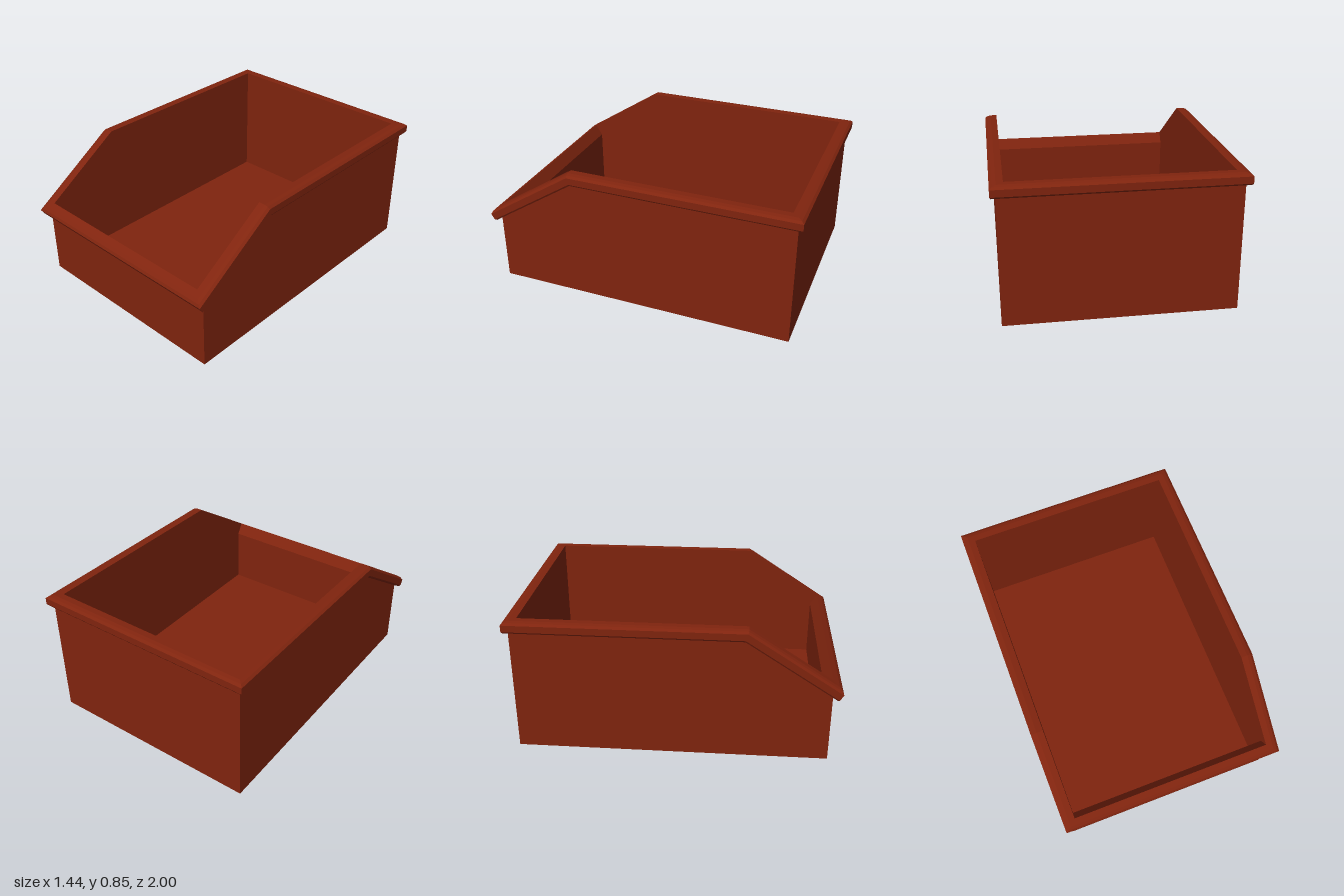
import * as THREE from 'three';

// Stations along one side: inner rim edge [x, y, z], outward step and rim normal as [y, z]
const SIDE = [
  { p: [0.645, 0.85, -0.923], out: [0, -1], up: [1, 0] },               // back corner
  { p: [0.645, 0.85, 0.435], out: [0, 0], up: [1, 0.296] },             // bend
  { p: [0.645, 0.522, 0.938], out: [-0.567, 0.882], up: [0.84, 0.54] }, // front corner
];
// Full loop, counter-clockwise seen from above
const STATIONS = [
  ...SIDE.map((s) => ({ ...s, side: -1 })),
  ...[...SIDE].reverse().map((s) => ({ ...s, side: 1 })),
];

// Ring at distance u outward and v along the rim normal; y flattens it to a level
function ring(u, v, y) {
  return STATIONS.map(({ p, out, up, side }) => [
    side * (p[0] + u),
    y ?? p[1] + u * out[0] + v * up[0],
    p[2] + u * out[1] + v * up[1],
  ]);
}

// Flat-faced bands between successive rings
function bands(rings) {
  const tris = [];
  for (let r = 0; r < rings.length - 1; r++) {
    const a = rings[r], b = rings[r + 1];
    for (let i = 0; i < a.length; i++) {
      const j = (i + 1) % a.length;
      tris.push(a[i], a[j], b[j], a[i], b[j], b[i]);
    }
  }
  return tris;
}

// Rectangular cap on a level ring
function cap(r, faceUp) {
  return faceUp ? [r[0], r[2], r[3], r[0], r[3], r[5]] : [r[0], r[3], r[2], r[0], r[5], r[3]];
}

export function createModel() {
  const group = new THREE.Group();
  const plastic = new THREE.MeshStandardMaterial({ color: 0x80240e });
  plastic.name = 'rust red plastic';

  const add = (name, tris) => {
    const geo = new THREE.BufferGeometry();
    geo.setAttribute('position', new THREE.Float32BufferAttribute(tris.flat(), 3));
    geo.computeVertexNormals();
    const mesh = new THREE.Mesh(geo, plastic);
    mesh.name = name;
    group.add(mesh);
  };

  // Outer walls
  const wallTop = ring(0.045, -0.072);
  const base = ring(0.045, -0.072, 0);
  add('outerWalls', bands([base, wallTop]));
  add('base', cap(base, false));

  // Overhanging rim with a softened outer edge
  const rimProfile = [[0.07, -0.068], [0.077, -0.058], [0.077, -0.016], [0.062, -0.005], [0.04, 0], [0, 0]];
  add('rim', bands([wallTop, ...rimProfile.map(([u, v]) => ring(u, v))]));

  // Inner walls and floor
  const floor = ring(0, -0.085, 0.07);
  add('innerWalls', bands([ring(0, 0), ring(0, -0.085), floor]));
  add('floor', cap(floor, true));

  return group;
}
